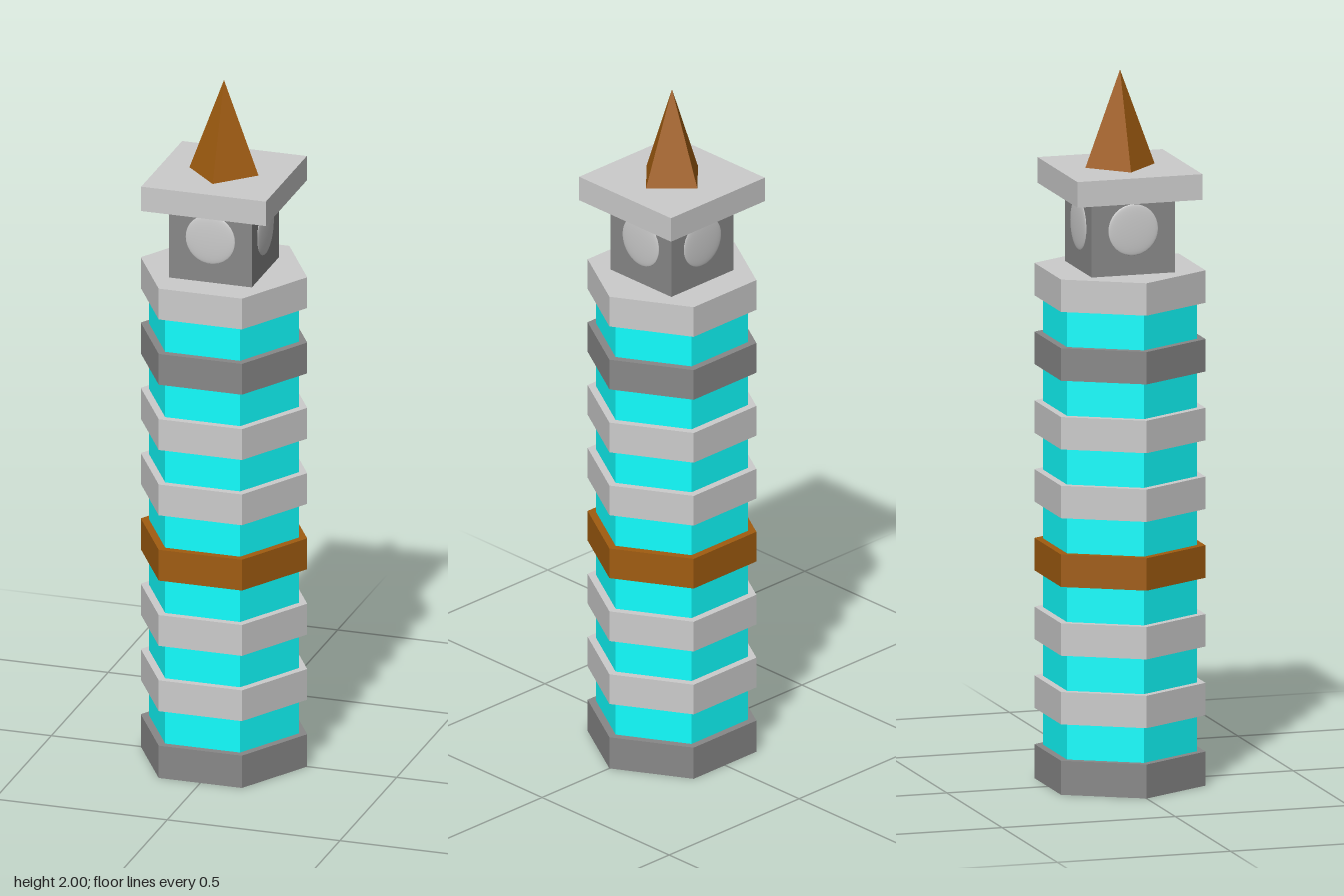
import * as THREE from 'three';

const mat = (color) => new THREE.MeshStandardMaterial({ color, flatShading: true });

export function createModel() {
  const tower = new THREE.Group();
  tower.name = 'tower';
  const light = mat(0xcccccc), dark = mat(0x888888);
  const brown = mat(0xa05c10), glass = mat(0x10ffff);
  const dial = new THREE.MeshStandardMaterial({ color: 0xcccccc });

  const add = (name, geometry, material, y, parent = tower) => {
    const mesh = new THREE.Mesh(geometry, material);
    mesh.name = name;
    mesh.position.y = y;
    parent.add(mesh);
    return mesh;
  };
  // Hexagonal prism with corners on the x axis
  const hex = (name, radius, bottom, top, material) =>
    add(name, new THREE.CylinderGeometry(radius, radius, top - bottom, 6, 1, false, Math.PI / 6),
      material, (bottom + top) / 2);

  // Alternating floor slabs and glazed storeys
  const pitch = 0.193, slabHeight = 0.0955;
  const slabMaterials = [dark, light, light, brown, light, light, dark, light];
  slabMaterials.forEach((material, i) => {
    const top = slabHeight + i * pitch;
    hex('floorSlab', 0.241, i ? top - 0.091 : 0, top, material);
    if (i < slabMaterials.length - 1) hex('glassStorey', 0.217, top, top + pitch - 0.091, glass);
  });

  // Clock room with a shallow domed dial on each side
  add('clockRoom', new THREE.BoxGeometry(0.24, 0.212, 0.24), dark, 1.552);
  for (let i = 0; i < 4; i++) {
    const side = new THREE.Group();
    side.name = 'clockSide';
    side.rotation.y = i * Math.PI / 2;
    tower.add(side);
    const face = add('clockFace', new THREE.SphereGeometry(0.072, 32, 16), dial, 1.573, side);
    face.position.z = 0.12;
    face.scale.z = 0.08;
  }

  // Square roof slab and four-sided spire
  add('roofSlab', new THREE.BoxGeometry(0.361, 0.072, 0.361), light, 1.694);
  add('spire', new THREE.ConeGeometry(0.1, 0.27, 4), brown, 1.865);
  return tower;
}
